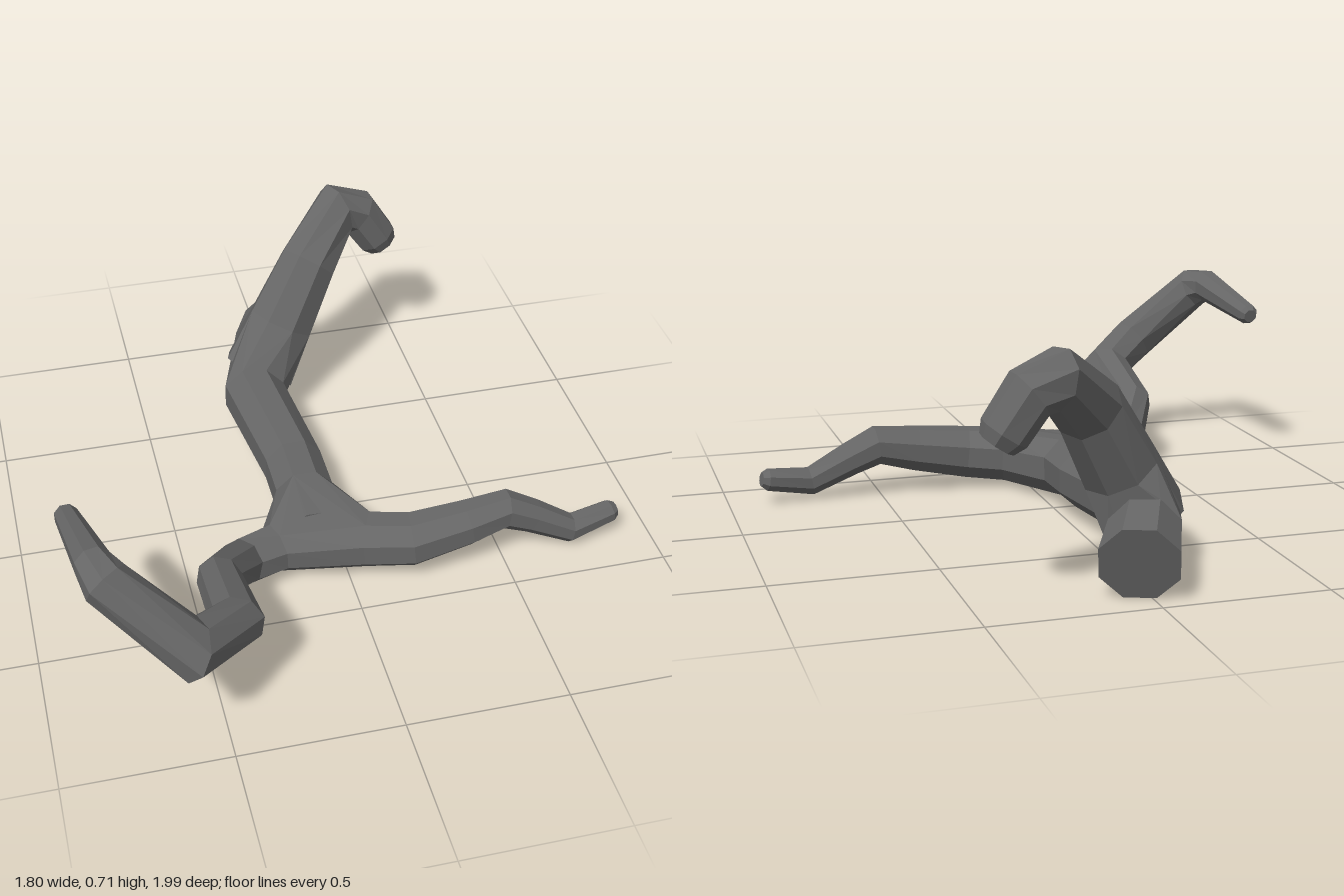
import * as THREE from 'three';
import { ConvexGeometry } from 'three/addons/geometries/ConvexGeometry.js';

const SIDES = 8;

// Rings of points along a path of [x, y, z, radius], mitred at each bend
function makeRings(path, startNormal) {
  const pts = path.map(p => new THREE.Vector3(p[0], p[1], p[2]));
  const last = pts.length - 1;
  const dirs = pts.slice(1).map((p, i) => p.clone().sub(pts[i]).normalize());
  let u = null;
  return pts.map((p, i) => {
    const din = dirs[Math.max(i - 1, 0)], dout = dirs[Math.min(i, last - 1)];
    const t = din.clone().add(dout).normalize();
    if (i === 0 && startNormal) t.set(...startNormal).normalize();
    if (!u) u = new THREE.Vector3(0, 1, 0);
    u = u.clone().addScaledVector(t, -u.dot(t)).normalize();
    const v = t.clone().cross(u);
    const bend = dout.clone().sub(din);
    const stretch = Math.min(1 / Math.max(t.dot(dout), 0.5), 1.3);
    const bent = bend.length() > 1e-4 && !(i === 0 && startNormal);
    bend.normalize();
    const ring = [];
    for (let k = 0; k < SIDES; k++) {
      const a = (k + 0.5) / SIDES * Math.PI * 2;
      const o = u.clone().multiplyScalar(Math.cos(a) * path[i][3])
        .addScaledVector(v, Math.sin(a) * path[i][3]);
      if (bent) o.addScaledVector(bend, o.dot(bend) * (stretch - 1));
      ring.push(o.add(p));
    }
    return ring;
  });
}

// Faceted limb skinned over its rings, with a flat cap at both ends
function limbGeometry(rings) {
  const out = [];
  const tri = (...vs) => vs.forEach(v => out.push(v.x, v.y, v.z));
  for (let i = 0; i < rings.length - 1; i++) {
    for (let k = 0; k < SIDES; k++) {
      const n = (k + 1) % SIDES, a = rings[i], b = rings[i + 1];
      tri(a[k], a[n], b[n]);
      tri(a[k], b[n], b[k]);
    }
  }
  const first = rings[0], end = rings[rings.length - 1];
  for (let k = 1; k < SIDES - 1; k++) {
    tri(first[0], first[k + 1], first[k]);
    tri(end[0], end[k], end[k + 1]);
  }
  const g = new THREE.BufferGeometry();
  g.setAttribute('position', new THREE.Float32BufferAttribute(out, 3));
  g.computeVertexNormals();
  return g;
}

export function createModel() {
  const group = new THREE.Group();
  const bark = new THREE.MeshStandardMaterial({ color: 0x666666 });
  bark.name = 'greyBark';
  const add = (name, geometry) => {
    const mesh = new THREE.Mesh(geometry, bark);
    mesh.name = name;
    group.add(mesh);
  };

  // Main stem, from the cut end at the back to the front fork
  const trunk = makeRings([
    [0.045, 0.128, -0.935, 0.122],
    [-0.03, 0.16, -0.77, 0.112],
    [-0.125, 0.155, -0.5, 0.106],
    [-0.08, 0.142, -0.1, 0.1],
    [-0.08, 0.138, 0.06, 0.1],
    [-0.08, 0.125, 0.24, 0.095],
  ], [-0.36, 0.3, 0.88]);

  // Upright branch that hooks over at the top
  const upper = makeRings([
    [-0.08, 0.17, -0.62, 0.13],
    [0.01, 0.33, -0.665, 0.118],
    [0.12, 0.52, -0.72, 0.102],
    [0.255, 0.64, -0.85, 0.082],
    [0.335, 0.61, -0.865, 0.077],
    [0.405, 0.505, -0.86, 0.073],
    [0.425, 0.475, -0.857, 0.055],
  ]);

  // Front fork, left arm
  const leftArm = makeRings([
    [-0.08, 0.125, 0.22, 0.09],
    [0.07, 0.13, 0.31, 0.09],
    [0.2, 0.138, 0.35, 0.087],
    [0.38, 0.165, 0.345, 0.075],
    [0.51, 0.187, 0.335, 0.062],
    [0.6, 0.145, 0.34, 0.055],
    [0.73, 0.078, 0.352, 0.045],
    [0.875, 0.1, 0.327, 0.037],
    [0.894, 0.103, 0.324, 0.024],
  ]);

  // Front fork, right arm that curls round and back
  const rightArm = makeRings([
    [-0.08, 0.125, 0.22, 0.09],
    [-0.22, 0.115, 0.265, 0.08],
    [-0.335, 0.115, 0.305, 0.076],
    [-0.44, 0.235, 0.49, 0.068],
    [-0.438, 0.31, 0.76, 0.076],
    [-0.59, 0.372, 0.905, 0.082],
    [-0.8, 0.58, 0.81, 0.07],
    [-0.825, 0.595, 0.74, 0.055],
    [-0.866, 0.534, 0.45, 0.036],
    [-0.867, 0.53, 0.432, 0.024],
  ]);

  add('trunk', limbGeometry(trunk));
  add('upperBranch', limbGeometry(upper));
  add('leftArm', limbGeometry(leftArm));
  add('rightArm', limbGeometry(rightArm));

  // Webbed wood where the limbs meet
  add('rearJoint', new ConvexGeometry([...trunk[1], ...trunk[2], ...upper[1]]));
  add('frontJoint', new ConvexGeometry([...trunk[4], ...leftArm[1], ...rightArm[1]]));
  return group;
}
